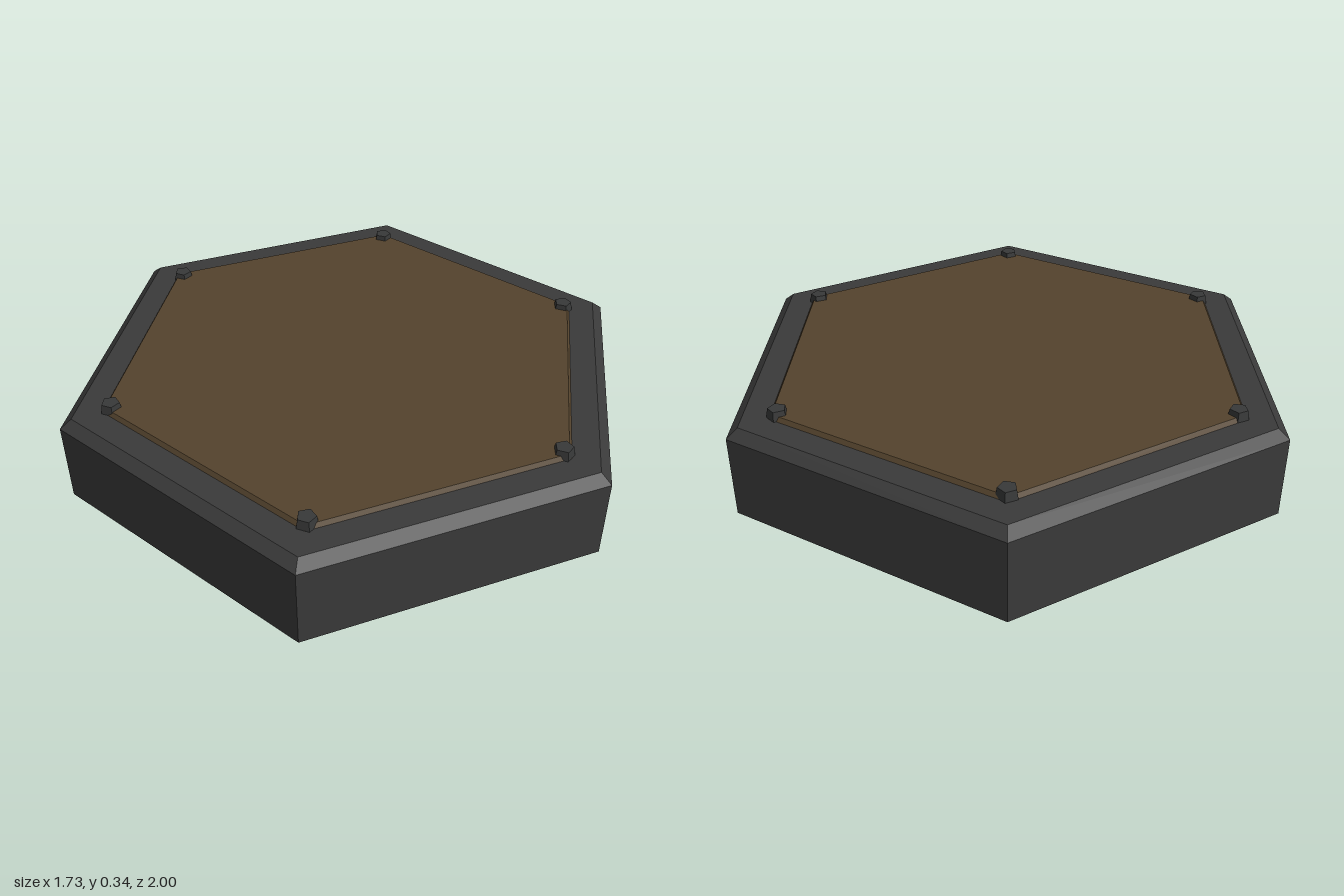
import * as THREE from 'three';

export function createModel() {
  const group = new THREE.Group();
  const mat = (name, color) => {
    const m = new THREE.MeshStandardMaterial({ color, flatShading: true });
    m.name = name;
    return m;
  };
  const stone = mat('dark stone', 0x3a3a3a);
  const earth = mat('brown earth', 0x54432d);
  const iron = mat('dark iron', 0x383939);

  // Tapered prism standing between two heights
  const prism = (name, rTop, rBottom, y0, y1, sides, material, openEnded = false) => {
    const geo = new THREE.CylinderGeometry(rTop, rBottom, y1 - y0, sides, 1, openEnded);
    const mesh = new THREE.Mesh(geo, material);
    mesh.name = name;
    mesh.position.y = (y0 + y1) / 2;
    group.add(mesh);
    return mesh;
  };

  // Hexagonal slab with a bevelled upper edge, one closed profile
  const profile = [[0, 0], [1, 0], [1, 0.28], [0.96, 0.31], [0, 0.31]];
  const slab = new THREE.Mesh(
    new THREE.LatheGeometry(profile.map(([x, y]) => new THREE.Vector2(x, y)), 6), stone);
  slab.name = 'baseSlab';
  group.add(slab);

  // Raised inlay panel
  prism('inlayPanel', 0.85, 0.862, 0.308, 0.324, 6, earth);

  // Five-sided studs on the panel corners
  for (let i = 0; i < 6; i++) {
    const a = (i * Math.PI) / 3;
    const stud = prism('cornerStud', 0.03, 0.036, 0.308, 0.342, 5, iron);
    stud.position.x = Math.sin(a) * 0.83;
    stud.position.z = Math.cos(a) * 0.83;
    stud.rotation.y = Math.PI;
  }
  return group;
}
